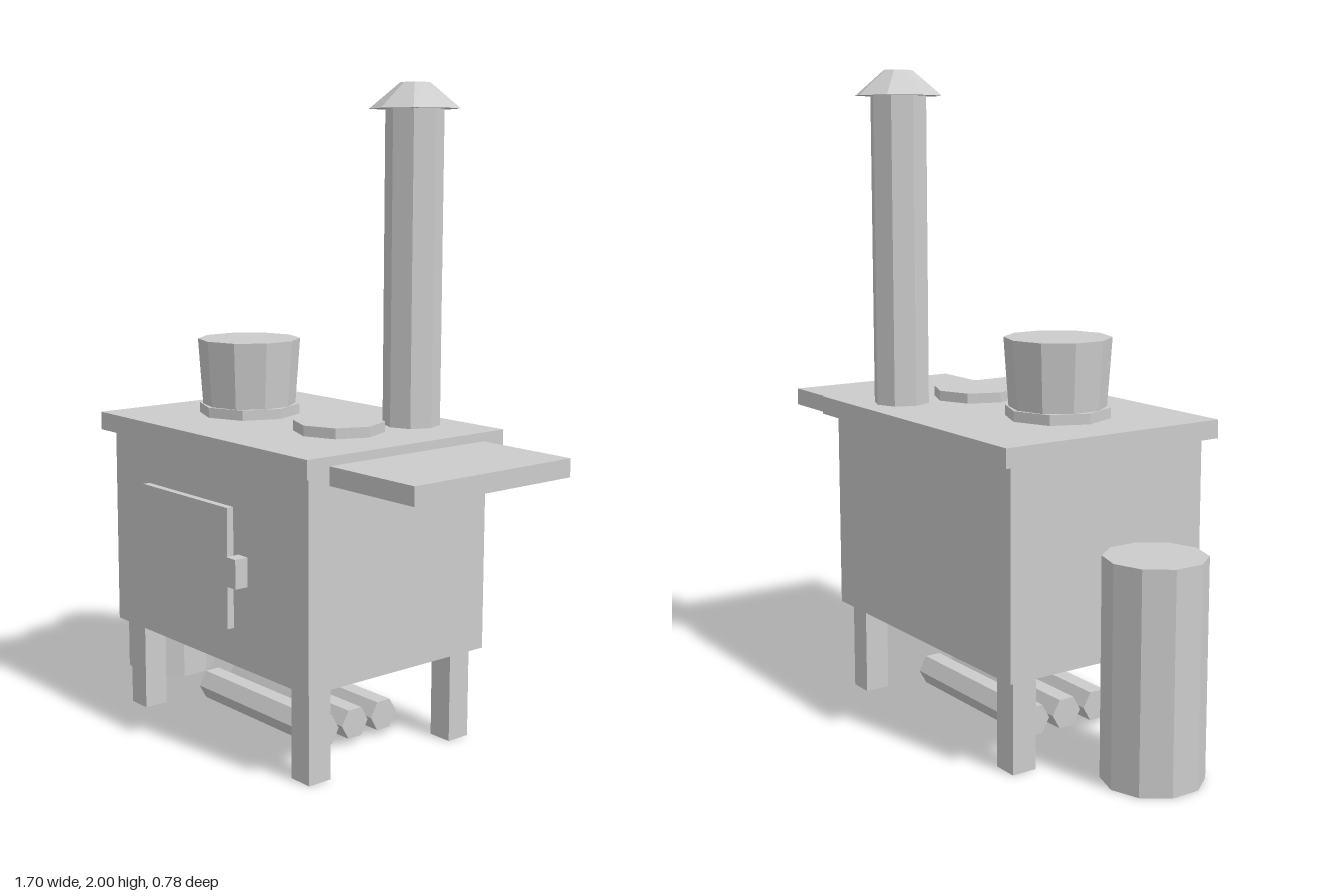
import * as THREE from 'three';

export function createModel() {
  const model = new THREE.Group();
  model.name = 'woodStove';
  const grey = new THREE.MeshStandardMaterial({ color: 0xcccccc, flatShading: true });
  grey.name = 'plain grey';

  const add = (name, geometry) => {
    const mesh = new THREE.Mesh(geometry, grey);
    mesh.name = name;
    model.add(mesh);
    return mesh;
  };
  // Box given by its lower and upper limits on each axis
  const box = (name, [x0, x1], [y0, y1], [z0, z1]) =>
    add(name, new THREE.BoxGeometry(x1 - x0, y1 - y0, z1 - z0))
      .position.set((x0 + x1) / 2, (y0 + y1) / 2, (z0 + z1) / 2);
  // Upright faceted cylinder standing between two heights
  const drum = (name, rTop, rBottom, [y0, y1], x, z, sides) =>
    add(name, new THREE.CylinderGeometry(rTop, rBottom, y1 - y0, sides))
      .position.set(x, (y0 + y1) / 2, z);

  // Firebox, top plate and side shelf
  box('firebox', [-0.501, 0.475], [0.285, 0.913], [-0.35, 0.345]);
  box('topPlate', [-0.536, 0.509], [0.913, 0.97], [-0.388, 0.378]);
  box('sideShelf', [0.509, 0.849], [0.888, 0.943], [-0.304, 0.299]);

  // Door and its handle
  box('door', [-0.313, 0.127], [0.4, 0.768], [0.345, 0.368]);
  box('doorHandle', [0.151, 0.196], [0.54, 0.629], [0.345, 0.39]);

  // Four legs
  for (const x of [-0.432, 0.406])
    for (const z of [-0.281, 0.278])
      box('leg', [x - 0.04, x + 0.04], [0, 0.285], [z - 0.04, z + 0.04]);

  // Hot plates and the pot
  drum('potHotPlate', 0.161, 0.161, [0.97, 1.002], -0.222, 0.017, 8);
  drum('openHotPlate', 0.138, 0.138, [0.97, 1.002], 0.22, 0.017, 8);
  drum('pot', 0.163, 0.148, [1.002, 1.211], -0.222, 0.017, 10);

  // Chimney with a rain cap
  drum('chimneyPipe', 0.088, 0.088, [0.97, 1.923], 0.267, -0.235, 8);
  drum('chimneyCap', 0.045, 0.137, [1.923, 2], 0.267, -0.235, 8);

  // Barrel beside the stove
  drum('barrel', 0.15, 0.15, [0, 0.651], -0.71, -0.003, 10);

  // Firewood underneath
  for (const z of [-0.121, -0.003, 0.115]) {
    const log = add('log', new THREE.CylinderGeometry(0.052, 0.052, 0.58, 6));
    log.rotation.z = Math.PI / 2;
    log.position.set(-0.012, 0.066, z);
  }
  return model;
}
